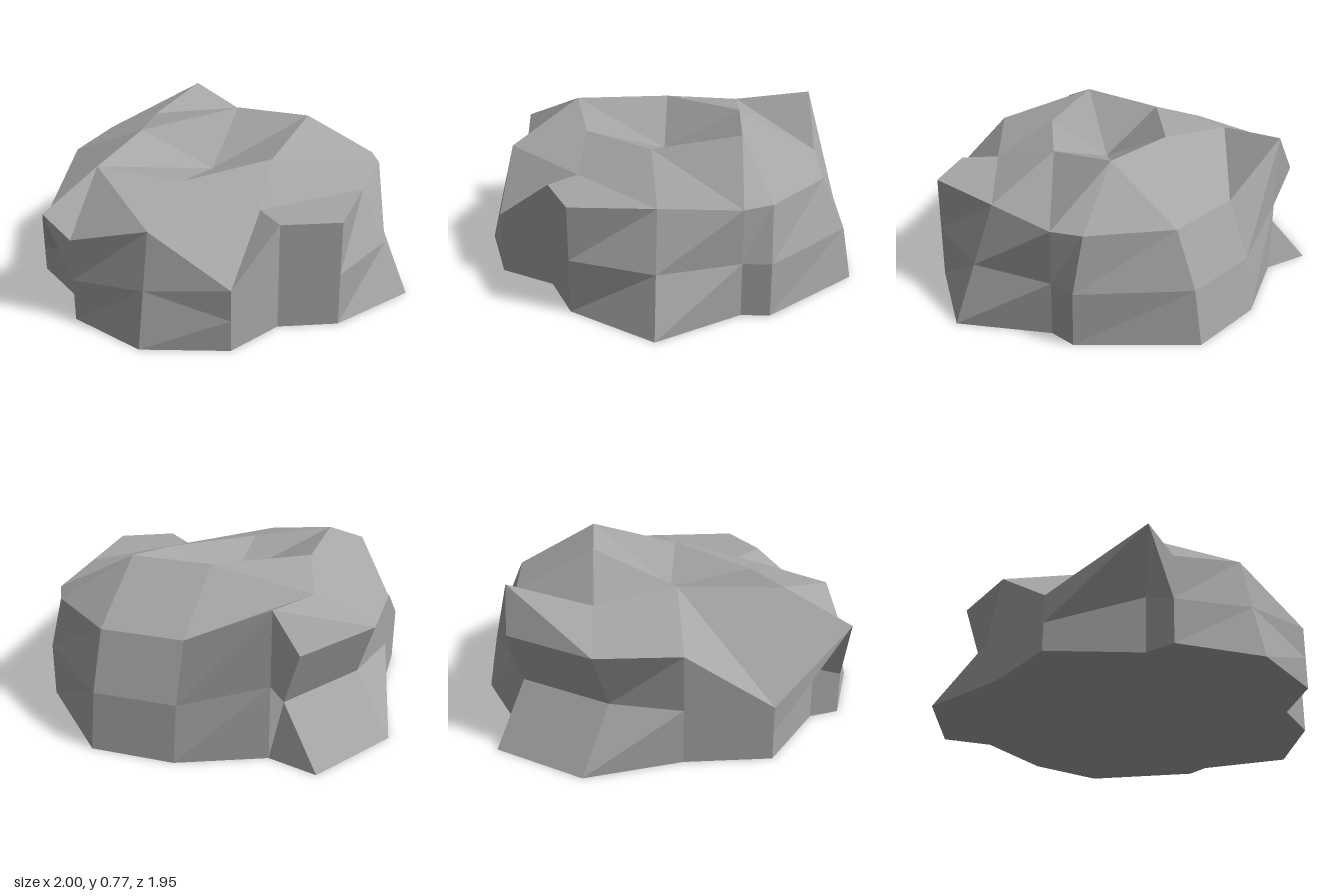
import * as THREE from 'three';

const stone = new THREE.MeshStandardMaterial({ color: 0xa6a6a6, flatShading: true });
stone.name = 'grey stone';

// Top surface: 5 x 5 grid, rows run back to front, columns from -x to +x
const TOP = [
  [[-0.62, 0.55, -0.81], [-0.49, 0.755, -0.81], [-0.08, 0.55, -0.81], [0.33, 0.55, -0.81], [0.67, 0.55, -0.54]],
  [[-0.89, 0.55, -0.41], [-0.59, 0.675, -0.40], [-0.08, 0.77, -0.40], [0.33, 0.77, -0.40], [0.74, 0.55, -0.40]],
  [[-0.90, 0.55, 0.00], [-0.49, 0.72, 0.00], [-0.08, 0.55, 0.00], [0.27, 0.67, 0.05], [0.74, 0.55, 0.00]],
  [[-0.90, 0.275, 0.42], [-0.49, 0.70, 0.52], [-0.08, 0.64, 0.42], [0.33, 0.55, 0.42], [0.74, 0.55, 0.42]],
  [[-0.63, 0.55, 0.83], [-0.49, 0.435, 0.83], [-0.08, 0.55, 0.83], [0.33, 0.32, 0.83], [0.47, 0.55, 0.55]],
];

// Rim order: front, +x side, back, -x side
const RIM = [];
for (let i = 0; i < 4; i++) RIM.push([i, 4]);
for (let k = 4; k > 0; k--) RIM.push([4, k]);
for (let i = 4; i > 0; i--) RIM.push([i, 0]);
for (let k = 0; k < 4; k++) RIM.push([0, k]);

// Where the wall leaves the vertical: rim index -> [middle x, z], [foot x, z]
const WALL_SHIFT = {
  0: [[-0.53, 0.68], [-0.53, 0.68]],
  2: [[-0.08, 0.90], [-0.08, 0.97]],
  6: [[0.87, 0], [1, 0]],
  8: [[0.74, -0.54], [0.74, -0.54]],
  9: [[0.33, -0.93], [0.33, -0.98]],
  10: [[-0.08, -0.93], [-0.08, -0.98]],
  12: [[-0.54, -0.75], [-0.73, -0.88]],
  13: [[-0.81, -0.34], [-1, -0.47]],
};

function facetedMesh(name, triangles) {
  const geometry = new THREE.BufferGeometry();
  geometry.setAttribute('position', new THREE.Float32BufferAttribute(triangles.flat(2), 3));
  geometry.computeVertexNormals();
  const mesh = new THREE.Mesh(geometry, stone);
  mesh.name = name;
  return mesh;
}

// Quad a-b-c-d split along b-d, or along a-c when flipped
const quad = (a, b, c, d, flip) => (flip ? [[a, b, c], [a, c, d]] : [[a, b, d], [b, c, d]]);

export function createModel() {
  const group = new THREE.Group();
  group.name = 'rock';

  // Rugged top
  const top = [];
  const flipped = new Set(['1,3', '3,3']);
  for (let k = 0; k < 4; k++) {
    for (let i = 0; i < 4; i++) {
      top.push(...quad(TOP[k][i], TOP[k + 1][i], TOP[k + 1][i + 1], TOP[k][i + 1], flipped.has(`${i},${k}`)));
    }
  }
  group.add(facetedMesh('rockTop', top));

  // Walls: three rings, the middle one at half the rim height
  const rim = RIM.map(([i, k]) => TOP[k][i]);
  const ring = (level, scale) => rim.map(([x, y, z], n) => {
    const [px, pz] = WALL_SHIFT[n] ? WALL_SHIFT[n][level] : [x, z];
    return [px, y * scale, pz];
  });
  const middle = ring(0, 0.5);
  const foot = ring(1, 0);
  const walls = [];
  const base = [];
  for (let n = 0; n < 16; n++) {
    const m = (n + 1) % 16;
    walls.push(...quad(rim[n], middle[n], middle[m], rim[m], n === 0));
    walls.push(...quad(middle[n], foot[n], foot[m], middle[m], false));
    base.push([[0, 0, 0], foot[m], foot[n]]);
  }
  // The upper front corner folds from its tip to the middle ring
  walls.splice(0, 2, [rim[0], middle[0], middle[1]], [rim[0], middle[1], rim[1]]);
  group.add(facetedMesh('rockWalls', walls));

  // Flat underside
  group.add(facetedMesh('rockBase', base));
  return group;
}
